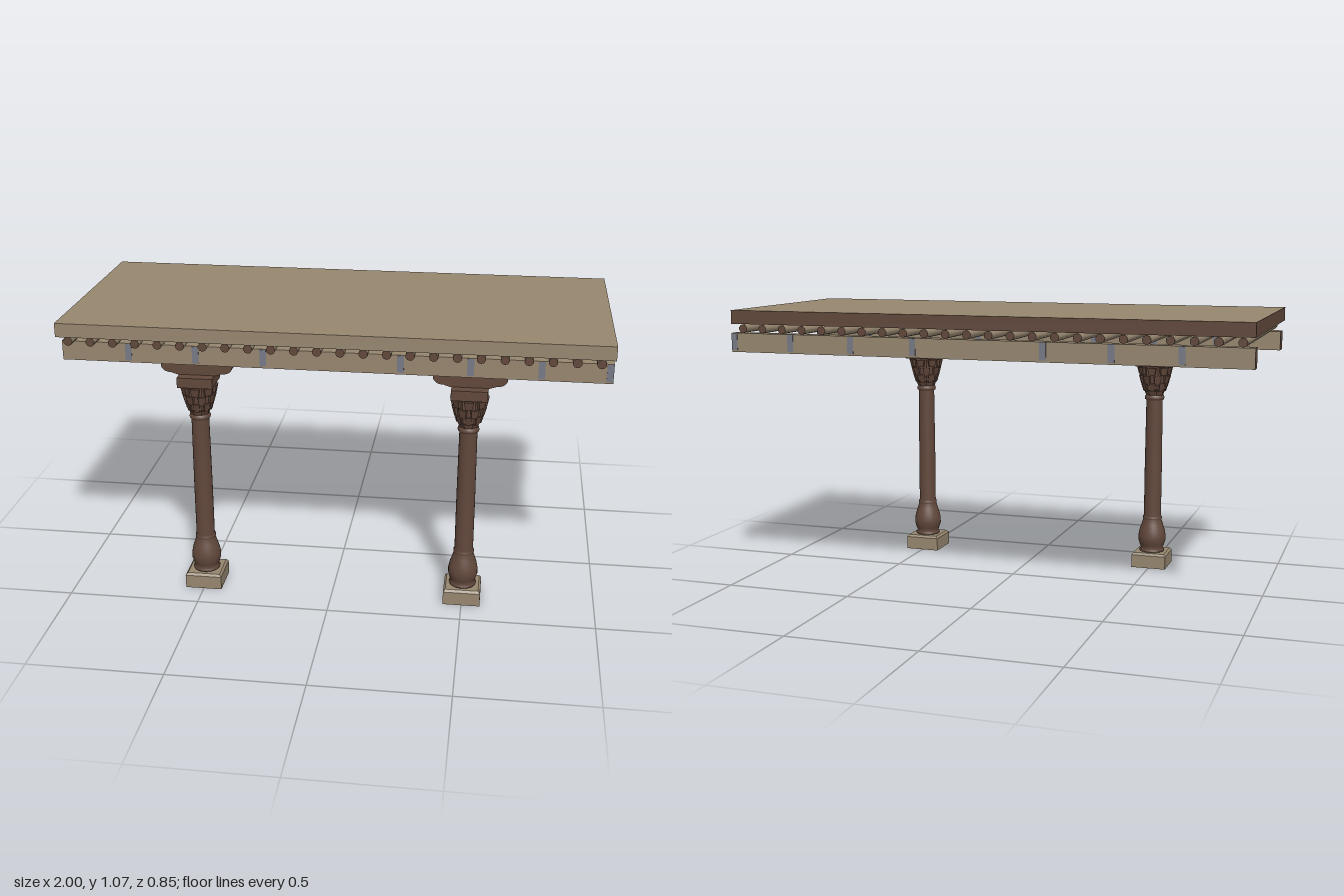
import * as THREE from 'three';

const mat = (name, color, side = THREE.FrontSide, flatShading = false) => {
  const m = new THREE.MeshStandardMaterial({ color, side, flatShading });
  m.name = name;
  return m;
};

export function createModel() {
  const root = new THREE.Group();
  root.name = 'colonnade';
  const tan = mat('tan wood', 0x978770, THREE.DoubleSide);
  const brown = mat('brown wood', 0x62483c, THREE.DoubleSide);
  const slate = mat('slate band', 0x777a86);

  const add = (parent, name, geo, material, x = 0, y = 0, z = 0) => {
    const m = new THREE.Mesh(geo, material);
    m.name = name;
    m.position.set(x, y, z);
    parent.add(m);
    return m;
  };
  const box = (parent, name, w, h, d, material, x, y, z) =>
    add(parent, name, new THREE.BoxGeometry(w, h, d), material, x, y, z);
  const flat = (geo) => {
    const g = geo.toNonIndexed();
    g.computeVertexNormals();
    return g;
  };
  const lathe = (pts, sides) =>
    new THREE.LatheGeometry(pts.map(([r, y]) => new THREE.Vector2(r, y)), sides);

  // roof slab: tan top, front and underside, brown ends and back
  box(root, 'roof', 2, 0.052, 0.85, [brown, brown, tan, tan, tan, brown], 0, 1.044, 0);

  // long beams with slate bands on the outer and inner faces
  const beam = (name, z, depth) => {
    const g = new THREE.Group();
    g.name = name;
    root.add(g);
    box(g, name + 'Timber', 2, 0.073, depth, [brown, brown, tan, tan, tan, tan], 0, 0.9465, z);
    for (let i = -3; i <= 4; i++) {
      const x = i === 4 ? 0.988 : i * 0.25;
      if (i === 0) continue;
      box(g, 'beamBand', 0.024, 0.064, depth + 0.003, slate, x, 0.949, z);
    }
  };
  beam('frontBeam', 0.327, 0.065);
  beam('backBeam', -0.4, 0.048);

  // round rafters running front to back
  const pole = new THREE.CylinderGeometry(0.0165, 0.0165, 0.838, 10).rotateX(Math.PI / 2);
  for (let i = 0; i < 24; i++) {
    add(root, 'rafter', pole, [tan, brown, brown], -0.957 + i * 0.083, 1.0, -0.003);
  }

  // column parts, shared by both columns
  const plinth = flat(lathe([[0.099, 0], [0.099, 0.052], [0.088, 0.061], [0.045, 0.061]], 4).rotateY(Math.PI / 4));
  const shaft = lathe([
    [0, 0.058], [0.05, 0.06], [0.051, 0.068], [0.044, 0.074], [0.05, 0.088], [0.056, 0.108],
    [0.056, 0.126], [0.052, 0.148], [0.044, 0.173], [0.037, 0.194], [0.039, 0.198], [0.039, 0.205],
    [0.035, 0.21], [0.035, 0.4], [0.033, 0.69], [0.038, 0.694], [0.04, 0.7], [0.038, 0.708], [0.034, 0.712],
  ], 24);
  const capital = flat(lathe([
    [0.034, 0.708], [0.043, 0.732], [0.049, 0.736], [0.05, 0.752], [0.055, 0.768],
    [0.058, 0.785], [0.06, 0.8], [0.06, 0.832], [0, 0.832],
  ], 8).rotateY(Math.PI / 8));

  // one leaf, wider and further out at the top
  const leaf = (w, h, lean) => {
    const g = new THREE.BoxGeometry(w, h, 0.012);
    const p = g.attributes.position;
    for (let i = 0; i < p.count; i++) {
      const top = p.getY(i) > 0;
      p.setX(i, p.getX(i) * (top ? 1 : 0.65));
      p.setZ(i, p.getZ(i) + (top ? lean : -lean));
    }
    return flat(g);
  };
  const tiers = [
    { y: 0.745, r: 0.044, geo: leaf(0.026, 0.034, 0.005), turn: 0 },
    { y: 0.776, r: 0.053, geo: leaf(0.032, 0.032, 0.004), turn: 0.5 },
    { y: 0.811, r: 0.061, geo: leaf(0.036, 0.03, 0.003), turn: 0 },
  ];

  // bracket with rounded lower corners
  const s = new THREE.Shape();
  s.moveTo(-0.133, 0.91);
  s.lineTo(-0.133, 0.898);
  s.quadraticCurveTo(-0.125, 0.876, -0.095, 0.876);
  s.lineTo(-0.07, 0.868);
  s.lineTo(0.07, 0.868);
  s.lineTo(0.095, 0.876);
  s.quadraticCurveTo(0.125, 0.876, 0.133, 0.898);
  s.lineTo(0.133, 0.91);
  s.closePath();
  const bracket = new THREE.ExtrudeGeometry(s, { depth: 0.052, bevelEnabled: false, curveSegments: 5 });
  bracket.translate(0, 0, -0.026);

  for (const side of [-1, 1]) {
    const col = new THREE.Group();
    col.name = side > 0 ? 'leftColumn' : 'rightColumn';
    col.position.set(side * 0.5, 0, 0.326);
    root.add(col);
    add(col, 'plinth', plinth, tan);
    add(col, 'shaft', shaft, brown);
    add(col, 'capital', capital, brown);
    for (const t of tiers) {
      for (let i = 0; i < 8; i++) {
        const a = (i + t.turn) * Math.PI / 4;
        add(col, 'capitalLeaf', t.geo, brown, Math.sin(a) * t.r, t.y, Math.cos(a) * t.r).rotation.y = a;
      }
    }
    box(col, 'abacus', 0.132, 0.038, 0.132, brown, 0, 0.85, 0);
    add(col, 'bracket', bracket, brown);
  }
  return root;
}
